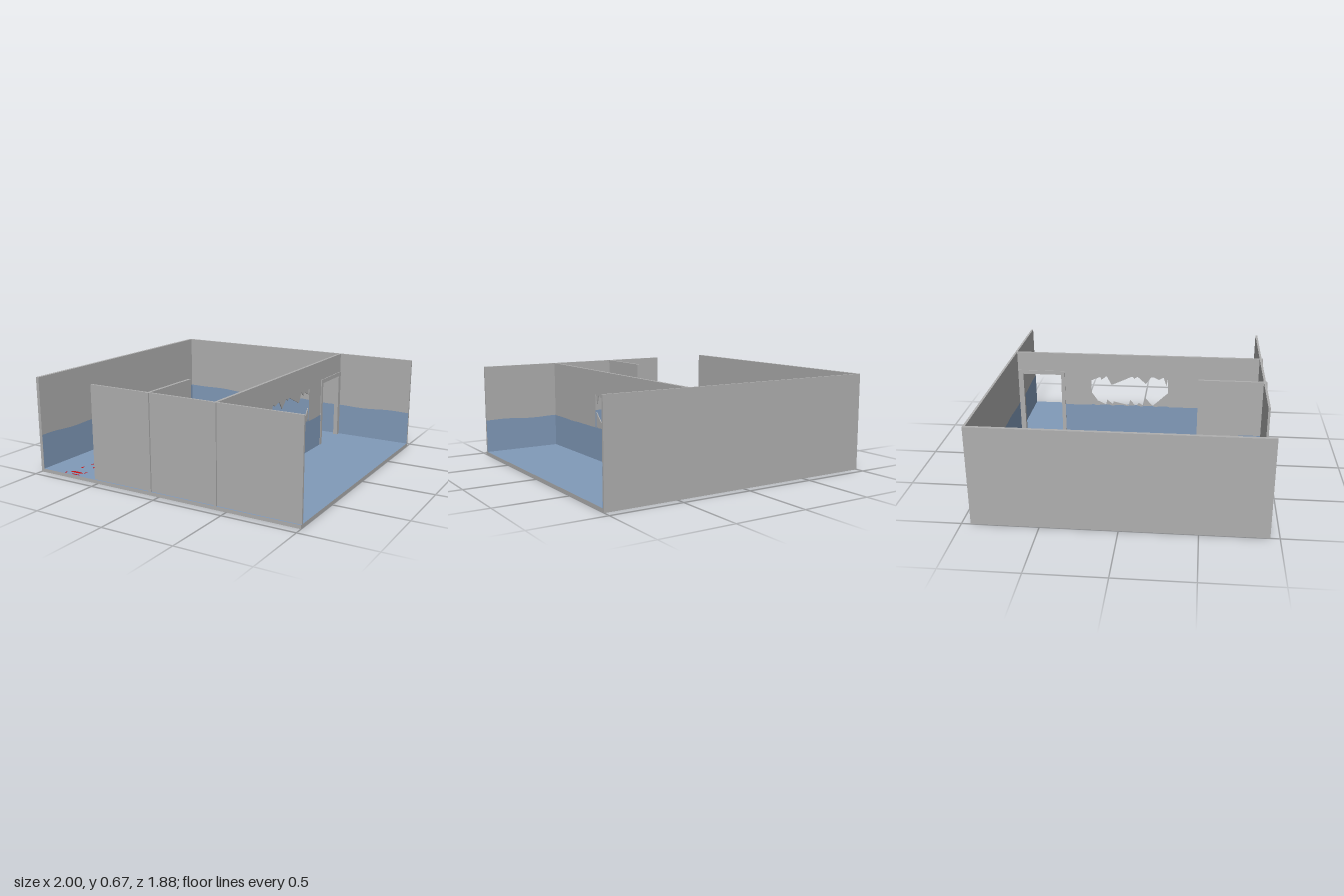
import * as THREE from 'three';

const wallMat = new THREE.MeshStandardMaterial({ color: 0xafafaf });
wallMat.name = 'plaster grey';
const paintMat = new THREE.MeshStandardMaterial({ color: 0x819ab9, side: THREE.DoubleSide });
paintMat.name = 'faded blue';
const redMat = new THREE.MeshStandardMaterial({ color: 0xc80e0e, side: THREE.DoubleSide });
redMat.name = 'spill red';

const FLOOR = 0.024, TOP = 0.672, Z = 0.94;

export function createModel() {
  const group = new THREE.Group();

  function add(name, geometry, material) {
    const mesh = new THREE.Mesh(geometry, material);
    mesh.name = name;
    group.add(mesh);
    return mesh;
  }

  function box(name, x0, x1, y0, y1, z0, z1, material = wallMat) {
    const g = new THREE.BoxGeometry(x1 - x0, y1 - y0, z1 - z0);
    g.translate((x0 + x1) / 2, (y0 + y1) / 2, (z0 + z1) / 2);
    return add(name, g, material);
  }

  const polygon = (pts) => new THREE.Shape(pts.map(([a, b]) => new THREE.Vector2(a, b)));

  // Extrudes an outline given as [z, y] points between x0 and x1
  function sideSlab(name, pts, x0, x1, hole) {
    const shape = polygon(pts.map(([z, y]) => [-z, y]));
    if (hole) shape.holes.push(polygon(hole.map(([z, y]) => [-z, y])));
    const g = new THREE.ExtrudeGeometry(shape, { depth: x1 - x0, bevelEnabled: false });
    g.rotateY(Math.PI / 2);
    g.translate(x0, 0, 0);
    return add(name, g, wallMat);
  }

  // Painted lower band with an uneven top edge, running along x or z
  function paint(name, axis, from, to, at, max = 1) {
    const pts = [[from, FLOOR]];
    const n = Math.max(4, Math.round((to - from) * 14));
    for (let i = 0; i <= n; i++) {
      const t = from + ((to - from) * i) / n;
      pts.push([t, Math.min(max, 0.263 + 0.005 * Math.sin(t * 7 + 1) + 0.003 * Math.sin(t * 17))]);
    }
    pts.push([to, FLOOR]);
    const g = new THREE.ShapeGeometry(polygon(axis === 'z' ? pts.map(([a, b]) => [-a, b]) : pts));
    if (axis === 'z') g.rotateY(Math.PI / 2).translate(at, 0, 0);
    else g.translate(0, 0, at);
    add(name, g, paintMat);
  }

  // Floor slab with a blue top
  box('floor', -1, 1, 0, FLOOR, -Z, Z, [wallMat, wallMat, paintMat, wallMat, wallMat, wallMat]);

  // Outer walls and the short partition
  box('sideWall', -1, -0.977, FLOOR, TOP, -Z, Z);
  box('backWall', -0.977, 1, FLOOR, TOP, -Z, -0.925);
  box('frontWall', -0.53, 1, FLOOR, TOP, 0.915, 0.93);
  box('shortPartition', -0.08, -0.06, FLOOR, TOP, 0.465, Z);

  // Long partition with a doorway and a window opening
  const doorA = -0.59, doorB = -0.885, doorTop = 0.5;
  const win = { z0: -0.355, z1: 0.235, y0: 0.26, y1: 0.5 };
  sideSlab('longPartition',
    [[Z, FLOOR], [Z, TOP], [-0.925, TOP], [-0.925, FLOOR], [doorB, FLOOR],
      [doorB, doorTop], [doorA, doorTop], [doorA, FLOOR]],
    0.41, 0.43,
    [[win.z0, win.y0], [win.z1, win.y0], [win.z1, win.y1], [win.z0, win.y1]]);

  // Raised door frame
  sideSlab('doorFrame',
    [[-0.562, FLOOR], [-0.562, 0.53], [-0.924, 0.53], [-0.924, FLOOR], [doorB, FLOOR],
      [doorB, doorTop], [doorA, doorTop], [doorA, FLOOR]],
    0.404, 0.436);

  // Broken pane remains: three [z, y] corners each
  const shards = [
    [[0.235, 0.26], [0.235, 0.37], [0.117, 0.26]],
    [[0.117, 0.26], [0.06, 0.325], [0.045, 0.26]],
    [[0.045, 0.26], [0.01, 0.283], [-0.005, 0.26]],
    [[-0.02, 0.26], [-0.057, 0.305], [-0.068, 0.26]],
    [[-0.068, 0.26], [-0.185, 0.288], [-0.195, 0.26]],
    [[-0.185, 0.26], [-0.237, 0.3], [-0.245, 0.26]],
    [[-0.245, 0.26], [-0.305, 0.29], [-0.3, 0.26]],
    [[-0.29, 0.26], [-0.355, 0.355], [-0.355, 0.26]],
    [[0.235, 0.5], [0.222, 0.43], [0.2, 0.5]],
    [[0.2, 0.5], [0.165, 0.48], [0.12, 0.5]],
    [[0.105, 0.5], [0.065, 0.442], [0, 0.5]],
    [[0, 0.5], [-0.025, 0.482], [-0.04, 0.5]],
    [[-0.04, 0.5], [-0.2, 0.426], [-0.24, 0.5]],
    [[-0.235, 0.5], [-0.28, 0.465], [-0.29, 0.5]],
    [[-0.26, 0.5], [-0.355, 0.46], [-0.355, 0.5]],
  ];
  for (const s of shards) sideSlab('windowShard', s, 0.417, 0.423);

  // Blue bands on the inner faces
  const e = 0.002;
  paint('sideWallPaint', 'z', -0.925, Z, -0.977 + e);
  paint('backWallPaint', 'x', -0.977, 0.41, -0.925 + e);
  paint('backWallPaint', 'x', 0.43, 1, -0.925 + e);
  paint('partitionPaint', 'z', -0.562, 0.915, 0.41 - e, win.y0);
  paint('partitionPaint', 'z', -0.562, 0.915, 0.43 + e, win.y0);
  paint('shortPartitionPaint', 'z', 0.465, 0.915, -0.08 - e);
  paint('shortPartitionPaint', 'z', 0.465, 0.915, -0.06 + e);
  for (const [a, b] of [[-0.53, -0.08], [-0.06, 0.41], [0.43, 1]]) {
    paint('frontWallPaint', 'x', a, b, 0.915 - e);
  }

  // Red puddle, outline in [x, z]
  const outline = [
    [0.005, 0.375], [0.045, 0.33], [0.1, 0.315], [0.165, 0.327], [0.22, 0.37], [0.285, 0.405],
    [0.312, 0.45], [0.322, 0.5], [0.345, 0.535], [0.335, 0.572], [0.3, 0.585], [0.26, 0.56],
    [0.17, 0.56], [0.09, 0.56], [0.035, 0.565], [-0.003, 0.53], [-0.015, 0.485], [-0.005, 0.43],
  ].map(([x, z]) => new THREE.Vector3(x, -z, 0));
  const curve = new THREE.CatmullRomCurve3(outline, true);
  const puddle = new THREE.ShapeGeometry(polygon(curve.getPoints(54).slice(0, -1).map((p) => [p.x, p.y])));
  puddle.rotateX(-Math.PI / 2).translate(0, FLOOR + e, 0);
  add('puddle', puddle, redMat);

  // Trail of red drops: x, z, half width, half length, turn
  const drops = [
    [-0.35, -0.085, 0.01, 0.008, 0], [-0.475, -0.05, 0.006, 0.015, 0.3], [-0.383, 0, 0.018, 0.02, 0],
    [-0.385, 0.075, 0.02, 0.024, 0], [-0.52, 0.05, 0.009, 0.028, -0.4], [-0.45, 0.1, 0.004, 0.028, 0],
    [-0.388, 0.17, 0.008, 0.032, 0], [-0.547, 0.16, 0.007, 0.018, -0.3], [-0.5, 0.26, 0.012, 0.024, -0.9],
    [-0.575, 0.32, 0.009, 0.028, -0.8], [-0.6, 0.375, 0.01, 0.016, -0.4], [-0.545, 0.38, 0.008, 0.016, 0],
    [-0.61, 0.5, 0.021, 0.022, 0], [-0.622, 0.56, 0.006, 0.034, -0.15], [-0.75, 0.56, 0.016, 0.032, -0.5],
    [-0.72, 0.43, 0.005, 0.015, -0.4], [-0.74, 0.69, 0.007, 0.024, -0.7], [-0.69, 0.75, 0.006, 0.018, 0.3],
    [-0.76, 0.79, 0.008, 0.018, 0], [-0.725, 0.888, 0.055, 0.013, 0], [-0.665, 0.87, 0.006, 0.02, 0],
    [-0.79, 0.925, 0.007, 0.013, 0], [-0.7, 0.927, 0.034, 0.007, 0], [-0.03, 0.322, 0.024, 0.006, 0],
  ];
  for (const [x, z, w, l, turn] of drops) {
    const g = new THREE.CircleGeometry(1, 9);
    g.rotateX(-Math.PI / 2).scale(w, 1, l).rotateY(turn).translate(x, FLOOR + e, z);
    add('drop', g, redMat);
  }

  return group;
}
